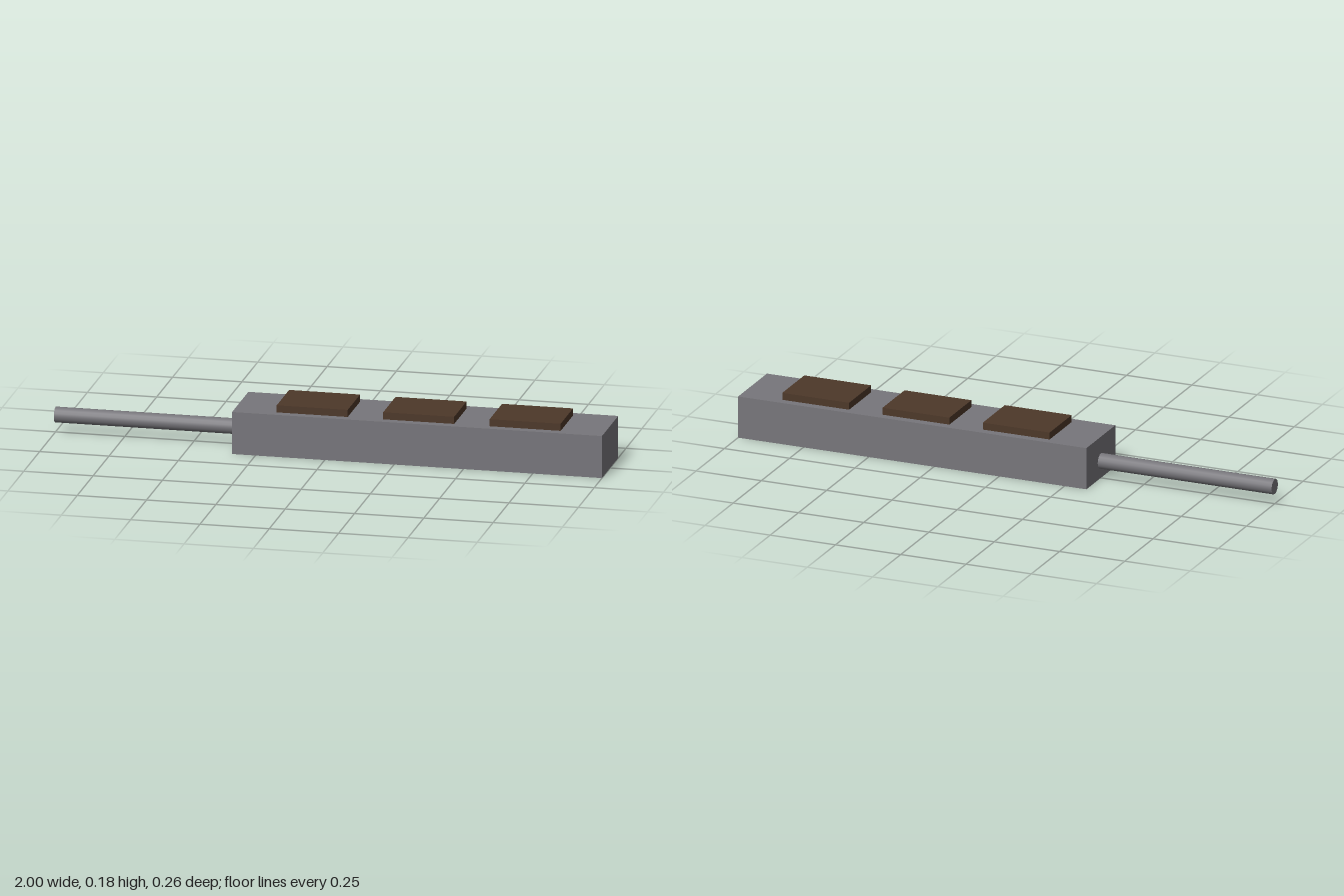
import * as THREE from 'three';

export function createModel() {
  const model = new THREE.Group();
  const grey = new THREE.MeshStandardMaterial({ color: 0x77767b });
  const brown = new THREE.MeshStandardMaterial({ color: 0x4d3829 });

  const add = (name, geometry, material, x, y, z = 0) => {
    const mesh = new THREE.Mesh(geometry, material);
    mesh.name = name;
    mesh.position.set(x, y, z);
    model.add(mesh);
    return mesh;
  };

  // Long block standing on the ground
  add('body', new THREE.BoxGeometry(1.334, 0.154, 0.256), grey, 0.333, 0.077);

  // Thin rod leaving the right end of the block
  const rod = add('cable', new THREE.CylinderGeometry(0.028, 0.028, 0.667, 16), grey, -0.6665, 0.064);
  rod.rotation.z = Math.PI / 2;

  // Three flat pads in a row on top
  const padGeometry = new THREE.BoxGeometry(0.256, 0.026, 0.195);
  for (let i = 0; i < 3; i++) {
    add(`pad${i + 1}`, padGeometry, brown, -0.052 + i * 0.384, 0.167);
  }

  return model;
}
